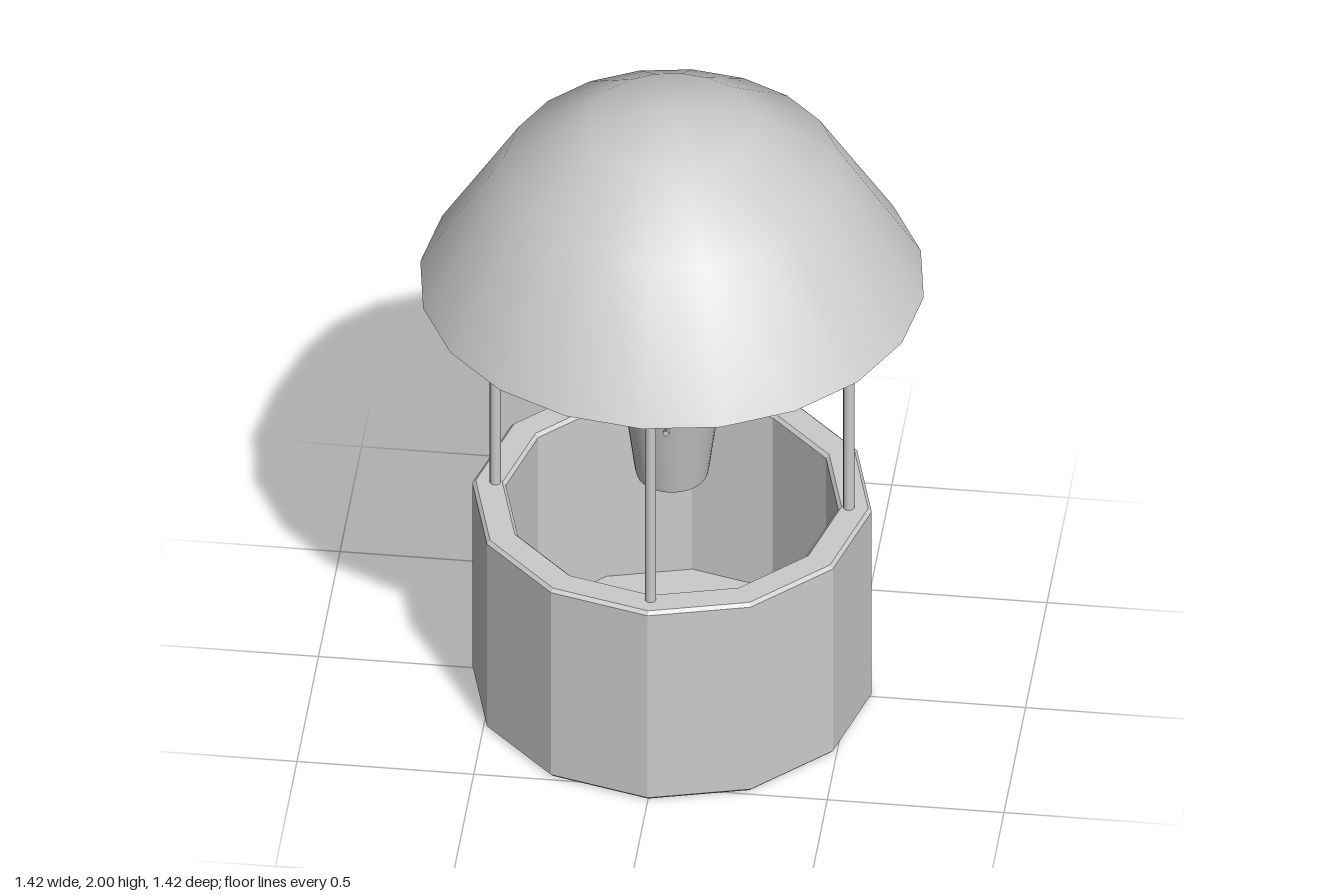
import * as THREE from 'three';
import { toCreasedNormals } from 'three/addons/utils/BufferGeometryUtils.js';

const grey = new THREE.MeshStandardMaterial({ color: 0xcccccc });
const flatGrey = new THREE.MeshStandardMaterial({ color: 0xcccccc, flatShading: true });

// Revolve a [radius, height] profile, keeping edges sharper than the crease angle
function turned(profile, sides, crease = 0.6) {
  const points = profile.map(([r, y]) => new THREE.Vector2(r, y));
  return toCreasedNormals(new THREE.LatheGeometry(points, sides), crease);
}

function add(parent, name, geometry, material = grey) {
  const mesh = new THREE.Mesh(geometry, material);
  mesh.name = name;
  parent.add(mesh);
  return mesh;
}

export function createModel() {
  const well = new THREE.Group();
  well.name = 'well';

  // Twelve-sided wall with bevelled rims and a floor
  add(well, 'wall', turned([
    [0, 0], [0.555, 0], [0.565, 0.01], [0.565, 0.645], [0.555, 0.655],
    [0.48, 0.655], [0.47, 0.645], [0.47, 0.05], [0, 0.05],
  ], 12, 0.1), flatGrey);

  // Faceted dome roof, closed underneath
  add(well, 'roof', turned([
    [0, 1.405], [0.712, 1.405], [0.475, 1.79], [0.238, 1.95], [0, 2],
  ], 20));

  // Four posts
  for (let i = 0; i < 4; i++) {
    const a = i * Math.PI / 2;
    const post = add(well, 'post', new THREE.CylinderGeometry(0.016, 0.016, 0.77, 12));
    post.position.set(0.5 * Math.sin(a), 1.025, 0.5 * Math.cos(a));
  }

  // Pulley with a grooved wheel, turned to face the front
  const pulley = new THREE.Group();
  pulley.name = 'pulley';
  pulley.position.y = 1.305;
  well.add(pulley);
  const wheel = add(pulley, 'pulleyWheel', turned([
    [0, -0.035], [0.045, -0.035], [0.045, -0.032], [0.068, -0.032], [0.068, -0.026],
    [0.057, -0.02], [0.057, -0.012], [0.068, -0.006], [0.068, 0.012],
    [0.053, 0.012], [0.053, 0.035], [0, 0.035],
  ], 24));
  wheel.rotation.x = Math.PI / 2;
  const hanger = add(pulley, 'pulleyHanger', new THREE.BoxGeometry(0.03, 0.06, 0.012));
  hanger.position.set(-0.005, 0.08, 0);

  // Rope loop over the wheel and hanging below it
  const loop = [];
  for (let i = 0; i < 24; i++) {
    const a = i / 24 * Math.PI * 2, s = Math.sin(a);
    loop.push(new THREE.Vector3(0.061 * Math.cos(a), s * (s > 0 ? 0.061 : 0.152), -0.022));
  }
  add(pulley, 'rope', new THREE.TubeGeometry(
    new THREE.CatmullRomCurve3(loop, true), 48, 0.003, 6, true));

  // Open bucket with a rounded foot and a thin lip
  const bucket = new THREE.Group();
  bucket.name = 'bucket';
  well.add(bucket);
  add(bucket, 'pail', turned([
    [0, 0.73], [0.092, 0.73], [0.1, 0.735], [0.104, 0.75], [0.137, 1.0],
    [0.139, 1.008], [0.134, 1.012], [0.127, 1.005], [0.094, 0.745], [0, 0.745],
  ], 32));

  // Wire handle and its two ears
  const arc = [];
  for (let i = 0; i <= 16; i++) {
    const a = i / 16 * Math.PI;
    arc.push(new THREE.Vector3(0, 1.01 + 0.145 * Math.sin(a), 0.134 * Math.cos(a)));
  }
  arc.unshift(new THREE.Vector3(0, 0.97, 0.139));
  arc.push(new THREE.Vector3(0, 0.97, -0.139));
  add(bucket, 'handle', new THREE.TubeGeometry(new THREE.CatmullRomCurve3(arc), 48, 0.003, 6));
  for (const side of [-1, 1]) {
    const ear = add(bucket, 'handleEar', new THREE.CylinderGeometry(0.009, 0.009, 0.016, 12));
    ear.rotation.x = Math.PI / 2;
    ear.position.set(0, 0.97, side * 0.134);
  }

  return well;
}
